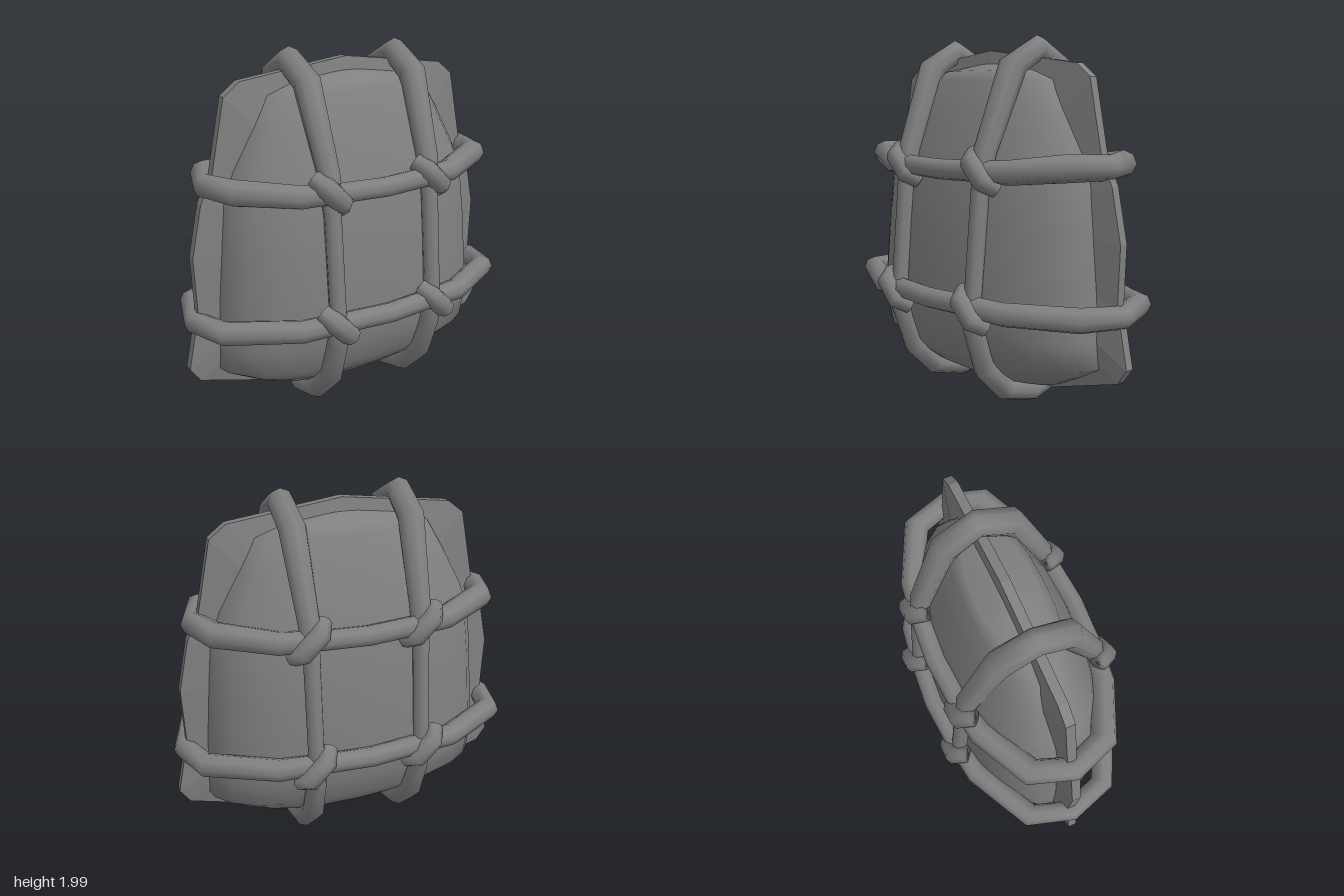
import * as THREE from 'three';

const material = new THREE.MeshStandardMaterial({ color: 0x808080, side: THREE.DoubleSide });

// Straight-segment curve whose tangents are averaged at the corners
class RopePath extends THREE.Curve {
  constructor(points, closed) {
    super();
    this.points = points.map(([x, y, z]) => new THREE.Vector3(x, y, z));
    this.closed = closed;
    this.count = closed ? points.length : points.length - 1;
  }
  getPoint(t, target = new THREE.Vector3()) {
    const wrapped = this.closed ? ((t % 1) + 1) % 1 : Math.min(1, Math.max(0, t));
    const s = wrapped * this.count;
    const i = Math.min(Math.floor(s + 1e-9), this.count - 1);
    return target.lerpVectors(this.points[i], this.points[(i + 1) % this.points.length], s - i);
  }
  getPointAt(t, target) { return this.getPoint(t, target); }
  getTangentAt(t, target = new THREE.Vector3()) {
    const e = 0.2 / this.count;
    return target.copy(this.getPoint(t + e)).sub(this.getPoint(t - e)).normalize();
  }
}

// Tube through points [x, y, z, radius]
function rope(points, closed) {
  const path = new RopePath(points, closed);
  const geometry = new THREE.TubeGeometry(path, path.count, 1, 8, closed);
  const pos = geometry.attributes.position;
  const v = new THREE.Vector3();
  for (let i = 0; i < pos.count; i++) {
    const k = Math.floor(i / 9) % points.length;
    v.fromBufferAttribute(pos, i).sub(path.points[k]).multiplyScalar(points[k][3]).add(path.points[k]);
    pos.setXYZ(i, v.x, v.y, v.z);
  }
  geometry.computeBoundingSphere();
  return geometry;
}

function createBody() {
  // height, half width, half depth
  const rows = [
    [0.13, 0, 0], [0.145, 0.46, 0.14], [0.175, 0.55, 0.22], [0.24, 0.68, 0.3], [0.32, 0.82, 0.365],
    [0.46, 0.818, 0.41], [0.62, 0.81, 0.428], [1.0, 0.78, 0.4], [1.25, 0.752, 0.372],
    [1.4, 0.695, 0.335], [1.6, 0.59, 0.262], [1.77, 0.49, 0.2], [1.82, 0.34, 0.155], [1.87, 0, 0]
  ];
  const geometry = new THREE.LatheGeometry(
    rows.map(([y, w]) => new THREE.Vector2(w, y)), 24, Math.PI / 2);
  const pos = geometry.attributes.position;
  // slightly squared oval sections
  const square = (value, size) => size ? Math.sign(value) * Math.abs(value / size) ** 0.88 : 0;
  for (let i = 0; i < pos.count; i++) {
    const [, w, d] = rows[i % rows.length];
    const x = square(pos.getX(i), w) * w, z = square(pos.getZ(i), w) * d;
    pos.setX(i, x);
    pos.setZ(i, z);
  }
  geometry.computeVertexNormals();
  return geometry;
}

function createSeam() {
  const half = [[0.49, 0.14], [0.92, 0.27], [0.975, 0.35], [0.91, 0.66], [0.92, 0.97],
    [0.86, 1.25], [0.79, 1.4], [0.71, 1.78], [0.62, 1.85]];
  const outline = [[0, 0.11], ...half, [0, 1.93], ...half.map(([x, y]) => [-x, y]).reverse()];
  const n = outline.length;
  // scale and depth of each ring: thin at the rim, thicker inside the body
  const rings = [[0.78, 0.062], [1, 0.025], [1, -0.025], [0.78, -0.062]];
  const vertices = [], index = [];
  rings.forEach(([scale, z], r) => outline.forEach(([x, y], i) => {
    vertices.push(x * scale, 1 + (y - 1) * scale, z);
    if (r === 3) return;
    const a = r * n + i, b = r * n + (i + 1) % n;
    index.push(a, a + n, b, b, a + n, b + n);
  }));
  const indexed = new THREE.BufferGeometry();
  indexed.setAttribute('position', new THREE.Float32BufferAttribute(vertices, 3));
  indexed.setIndex(index);
  const geometry = indexed.toNonIndexed();
  geometry.computeVertexNormals();
  return geometry;
}

// Closed loop from one quarter, running from the x end to the front
function beltPoints(quarter) {
  const front = [...quarter, ...quarter.slice(0, -1).reverse().map(([x, y, z, r]) => [-x, y, z, r])];
  const back = front.slice(1, -1).reverse().map(([x, y, z, r]) => [x, y, -z, r]);
  return [...front, ...back];
}

export function createModel() {
  const model = new THREE.Group();
  model.name = 'tiedBundle';
  const add = (name, geometry) => {
    const mesh = new THREE.Mesh(geometry, material);
    mesh.name = name;
    model.add(mesh);
    return mesh;
  };

  add('body', createBody());
  add('seamFlange', createSeam());

  // Ropes around the waist
  add('lowerBelt', rope(beltPoints([[0.92, 0.607, 0, 0.06], [0.85, 0.62, 0.228, 0.065],
    [0.5, 0.615, 0.41, 0.062], [0.25, 0.625, 0.452, 0.056], [0, 0.622, 0.472, 0.056]]), true));
  add('upperBelt', rope(beltPoints([[0.82, 1.34, 0, 0.064], [0.75, 1.345, 0.2, 0.07],
    [0.46, 1.312, 0.345, 0.063], [0.25, 1.31, 0.382, 0.055], [0, 1.305, 0.4, 0.055]]), true));

  // Ropes over the top and under the bottom
  const side = [[0.322, 1.838, 0.172, 0.074], [0.306, 1.41, 0.35, 0.06], [0.305, 1.2, 0.385, 0.047],
    [0.305, 0.62, 0.44, 0.046], [0.303, 0.5, 0.428, 0.056], [0.298, 0.27, 0.343, 0.063],
    [0.297, 0.127, 0.195, 0.066]];
  const strap = [[0.327, 1.93, 0, 0.07], ...side, [0.295, 0.072, 0, 0.064],
    ...side.map(([x, y, z, r]) => [x, y, -z, r]).reverse()];
  add('leftStrap', rope(strap, true));
  add('rightStrap', rope(strap.map(([x, y, z, r]) => [-x, y, z, r]), true));

  // Diagonal knots at every crossing, front and back
  const knot = [[-0.085, 0.088, -0.05, 0], [-0.08, 0.083, -0.045, 0.05], [-0.045, 0.045, 0.02, 0.057],
    [0.045, -0.045, 0.02, 0.057], [0.08, -0.083, -0.045, 0.05], [0.085, -0.088, -0.05, 0]];
  for (const x of [-0.308, 0.313]) {
    for (const [y, z, level] of [[0.612, 0.468, 'lower'], [1.312, 0.393, 'upper']]) {
      for (const s of [1, -1]) {
        const name = level + (x < 0 ? 'Right' : 'Left') + (s > 0 ? 'Front' : 'Back') + 'Knot';
        add(name, rope(knot.map(([kx, ky, kz, r]) => [kx, ky, kz * s, r]), false))
          .position.set(x, y, z * s);
      }
    }
  }
  return model;
}
